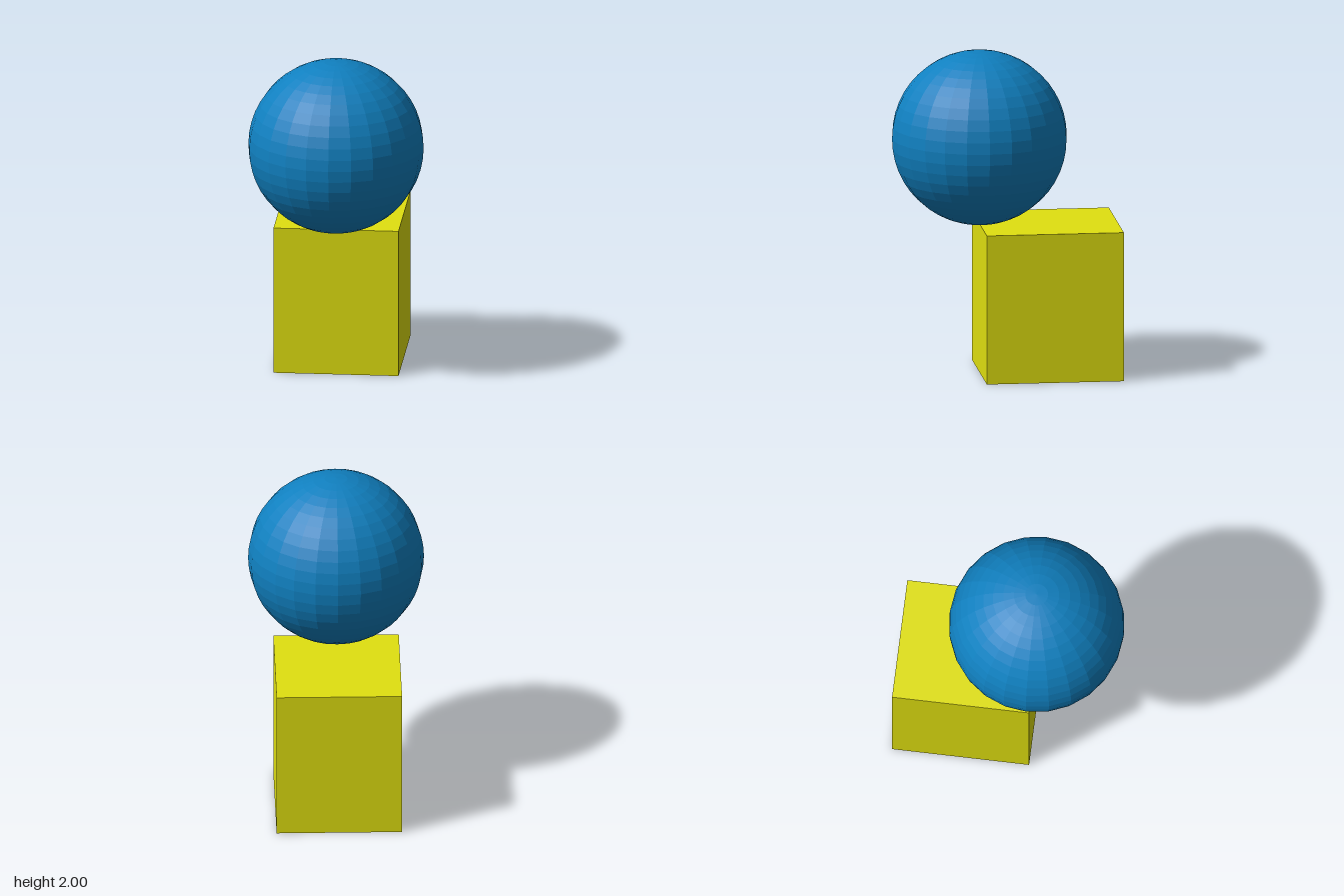
import * as THREE from 'three';

export function createModel() {
  const model = new THREE.Group();

  const addPart = (name, geometry, color, x, y, z) => {
    const material = new THREE.MeshStandardMaterial({ color, flatShading: true });
    const mesh = new THREE.Mesh(geometry, material);
    mesh.name = name;
    mesh.position.set(x, y, z);
    model.add(mesh);
  };

  // Box base, set towards the back
  const width = 0.766, height = 0.926, depth = 0.843;
  addPart('base', new THREE.BoxGeometry(width, height, depth), 0xe0e010, 0, height / 2, -0.268);

  // Faceted ball resting above the front edge of the base
  const radius = 0.537;
  addPart('ball', new THREE.SphereGeometry(radius, 24, 24), 0x1080c0, 0, 2 - radius, 0.153);

  return model;
}
